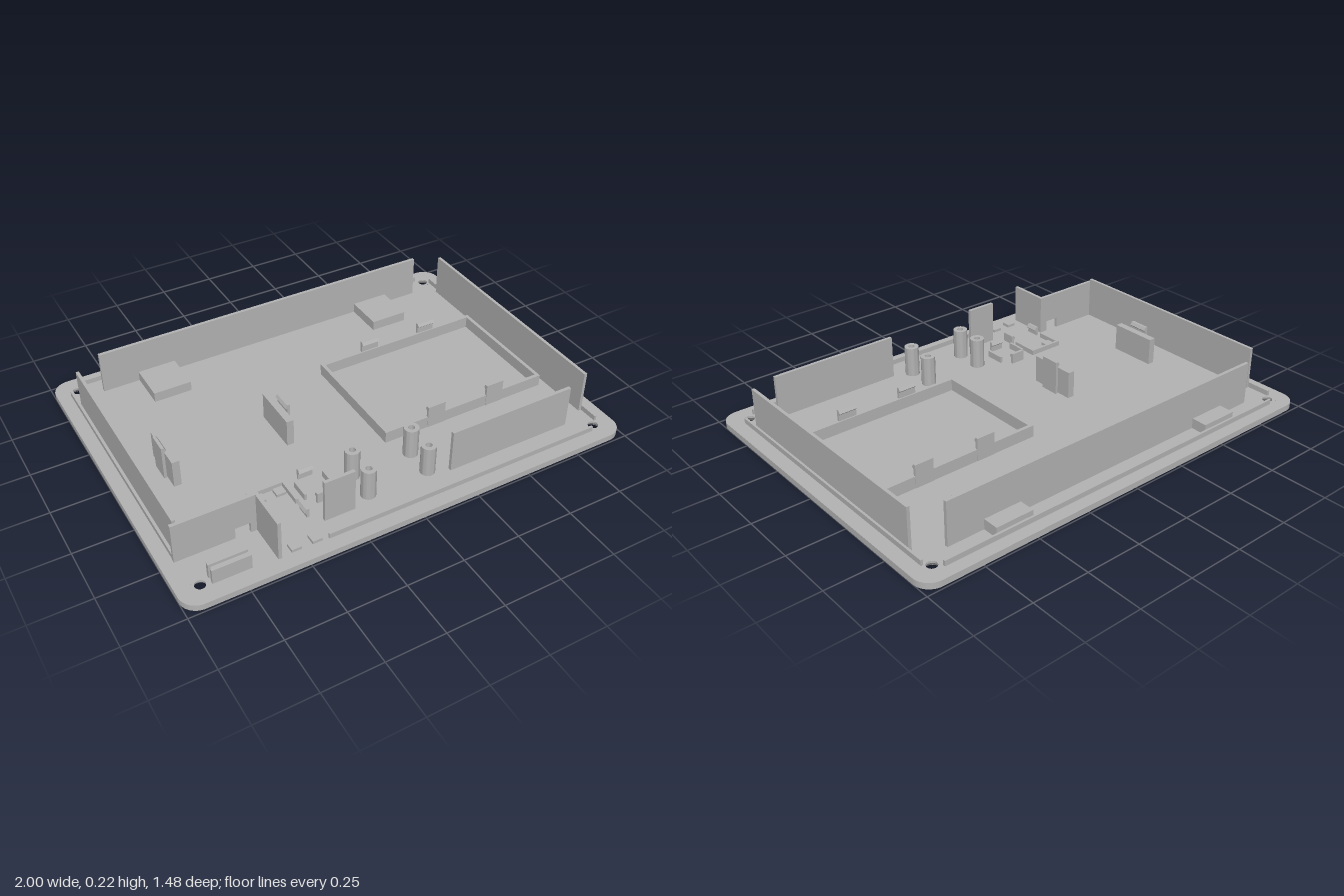
import * as THREE from 'three';
import { toCreasedNormals } from 'three/addons/utils/BufferGeometryUtils.js';

const FLOOR = 0.027; // top of the base plate
const SINK = 0.002;  // parts overlap the plate slightly

export function createModel() {
  const model = new THREE.Group();
  model.name = 'enclosureBase';
  const grey = new THREE.MeshStandardMaterial({ color: 0xb3b3b3 });
  grey.name = 'plastic grey';

  const add = (name, geometry) => {
    const mesh = new THREE.Mesh(geometry, grey);
    mesh.name = name;
    model.add(mesh);
    return mesh;
  };
  // Box given by its limits in x, z and y
  const block = (name, x0, x1, z0, z1, top, bottom = FLOOR - SINK) => {
    const mesh = add(name, new THREE.BoxGeometry(x1 - x0, top - bottom, z1 - z0));
    mesh.position.set((x0 + x1) / 2, (bottom + top) / 2, (z0 + z1) / 2);
    return mesh;
  };
  // Plan outline (shape y = -z) raised from bottom to top
  const raise = (name, shape, bottom, top) => {
    const g = new THREE.ExtrudeGeometry(shape, { depth: top - bottom, bevelEnabled: false, curveSegments: 12 });
    g.rotateX(-Math.PI / 2);
    g.translate(0, bottom, 0);
    return add(name, toCreasedNormals(g, 0.6));
  };
  const rect = (T, x0, x1, z0, z1) => new T([
    new THREE.Vector2(x0, -z1), new THREE.Vector2(x1, -z1),
    new THREE.Vector2(x1, -z0), new THREE.Vector2(x0, -z0)]);
  const lathe = (name, points, x, z) => {
    const g = new THREE.LatheGeometry(points.map(p => new THREE.Vector2(...p)), 28);
    add(name, toCreasedNormals(g, 0.6)).position.set(x, 0, z);
  };
  // Snap clip: its back is at (x, z), its nose points along the turned local +x
  const clip = (name, x, z, length, turn, top) => {
    const h = top - FLOOR + SINK;
    const s = new THREE.Shape([[0, 0], [0.012, 0], [0.012, h - 0.022], [0.021, h - 0.014], [0.013, h], [0, h]]
      .map(p => new THREE.Vector2(...p)));
    const g = new THREE.ExtrudeGeometry(s, { depth: length, bevelEnabled: false });
    g.translate(0, 0, -length / 2);
    const mesh = add(name, g);
    mesh.position.set(x, FLOOR - SINK, z);
    mesh.rotation.y = turn;
  };

  // Base plate with rounded corners, screw holes and keyholes
  const W = 1, D = 0.74, R = 0.075;
  const plate = new THREE.Shape();
  plate.absarc(W - R, D - R, R, 0, Math.PI / 2);
  plate.absarc(-W + R, D - R, R, Math.PI / 2, Math.PI);
  plate.absarc(-W + R, -D + R, R, Math.PI, Math.PI * 1.5);
  plate.absarc(W - R, -D + R, R, Math.PI * 1.5, Math.PI * 2);
  plate.closePath();
  const corners = [[-1, -1], [1, -1], [-1, 1], [1, 1]].map(([a, b]) => [a * 0.906, b * 0.65]);
  for (const [x, z] of corners) {
    plate.holes.push(new THREE.Path().absarc(x, -z, 0.035, 0, Math.PI * 2, true));
  }
  for (const x of [-0.555, 0.555]) {
    const key = new THREE.Path();
    key.absarc(x, 0.475, 0.038, Math.PI / 2 - 0.5, Math.PI / 2 + 0.5, true);
    key.absarc(x, 0.565, 0.018, Math.PI, 0, true);
    key.closePath();
    plate.holes.push(key);
  }
  raise('basePlate', plate, 0, FLOOR);
  for (const [x, z] of corners) {
    lathe('countersunkHole', [[0.035, FLOOR], [0.022, FLOOR], [0.022, 0.018], [0.035, 0]], x, z);
  }

  // Hollow covers over the keyholes
  for (const [x0, x1] of [[-0.64, -0.468], [0.468, 0.64]]) {
    const ring = rect(THREE.Shape, x0, x1, -0.675, -0.41);
    ring.holes.push(rect(THREE.Path, x0 + 0.02, x1 - 0.02, -0.645, -0.43));
    raise('keyholeCoverSides', ring, FLOOR - SINK, 0.06);
    block('keyholeCoverTop', x0, x1, -0.675, -0.41, 0.072, 0.06);
  }

  // Tall walls
  block('backWall', -0.805, 0.805, -0.605, -0.59, 0.22);
  block('rightWall', 0.915, 0.929, -0.545, 0.545, 0.22);
  block('leftWall', -0.931, -0.917, -0.525, 0.492, 0.22);
  block('frontWallLong', 0.22, 0.805, 0.575, 0.59, 0.22);
  block('frontWallShort', -0.36, -0.225, 0.575, 0.59, 0.22);

  // Corner partition with a cable opening
  block('partitionLeft', -0.945, -0.695, 0.49, 0.505, 0.207);
  block('partitionRight', -0.63, -0.59, 0.49, 0.505, 0.207);
  block('partitionBridge', -0.695, -0.63, 0.49, 0.505, 0.207, 0.076);
  block('partitionSide', -0.605, -0.59, 0.505, 0.68, 0.207);

  // Low locating lips round the edge
  block('backLip', -0.88, 0.877, -0.686, -0.676, 0.05);
  block('frontLip', -0.39, 0.877, 0.67, 0.68, 0.05);
  block('rightLip', 0.929, 0.939, -0.63, 0.63, 0.05);
  block('leftLip', -0.943, -0.931, -0.63, 0.49, 0.05);

  // Open tray with four snap clips
  const tray = rect(THREE.Shape, 0.083, 0.88, -0.232, 0.316);
  tray.holes.push(rect(THREE.Path, 0.099, 0.864, -0.216, 0.3));
  raise('trayFrame', tray, FLOOR - SINK, 0.08);
  for (const x of [0.333, 0.632]) {
    clip('trayClipBack', x, -0.234, 0.085, -Math.PI / 2, 0.13);
    clip('trayClipFront', x, 0.318, 0.085, Math.PI / 2, 0.13);
  }

  // Two upright holders, each with a clip
  block('holderLeft', -0.782, -0.75, -0.085, 0.13, 0.15);
  block('holderRight', -0.278, -0.246, -0.085, 0.13, 0.15);
  clip('holderClipLeft', -0.797, 0.022, 0.088, 0, 0.18);
  clip('holderClipRight', -0.229, 0.022, 0.088, Math.PI, 0.18);

  // Hollow screw posts
  for (const x of [-0.14, 0.137]) for (const z of [0.42, 0.545]) {
    lathe('screwPost', [[0.032, FLOOR - SINK], [0.032, 0.163], [0.014, 0.163], [0.014, FLOOR]], x, z);
  }

  // Slotted block in the front left corner
  block('slotBlockFront', -0.865, -0.705, 0.654, 0.669, 0.093);
  block('slotBlockBack', -0.865, -0.705, 0.62, 0.637, 0.093);
  block('slotBlockCore', -0.857, -0.705, 0.637, 0.654, 0.08);

  // Small board mount: U frame, pads and clips
  block('mountBack', -0.565, -0.4, 0.328, 0.34, 0.05);
  block('mountLeft', -0.565, -0.553, 0.34, 0.453, 0.05);
  block('mountRight', -0.412, -0.4, 0.34, 0.453, 0.05);
  for (const x of [-0.526, -0.438]) for (const z of [0.366, 0.655]) {
    block('mountPad', x - 0.021, x + 0.021, z - 0.02, z + 0.02, 0.04);
  }
  clip('mountClipLeft', -0.566, 0.51, 0.06, 0, 0.068);
  clip('mountClipRight', -0.399, 0.51, 0.06, Math.PI, 0.068);

  // Second small mount: side ribs and clips
  block('ribLeft', -0.373, -0.362, 0.365, 0.453, 0.056);
  block('ribRight', -0.245, -0.233, 0.365, 0.453, 0.056);
  clip('ribClipBack', -0.305, 0.323, 0.065, -Math.PI / 2, 0.075);
  clip('ribClipFront', -0.305, 0.492, 0.065, Math.PI / 2, 0.075);

  return model;
}
